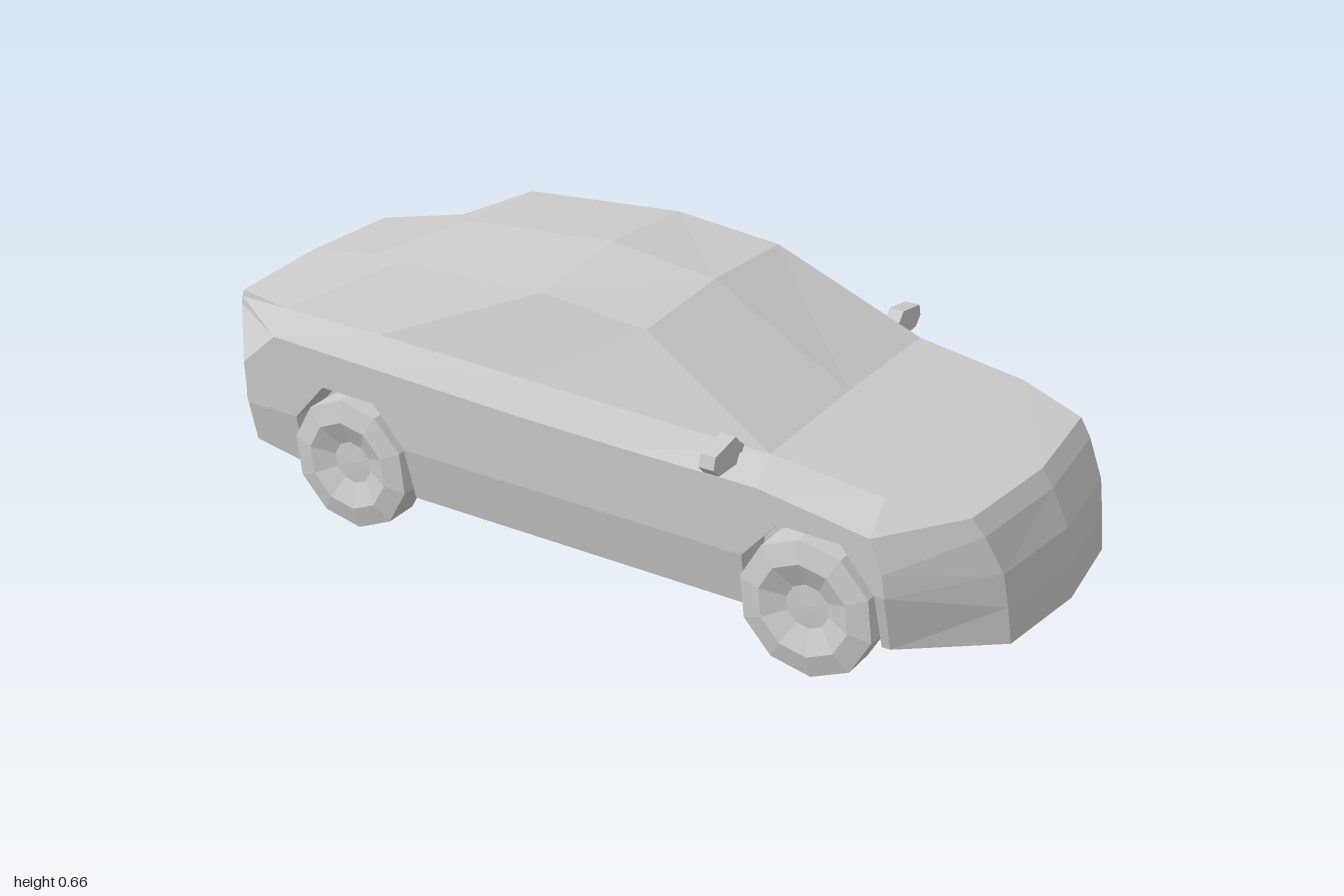
import * as THREE from 'three';

const material = new THREE.MeshStandardMaterial({ color: 0xcccccc, flatShading: true, side: THREE.DoubleSide });

// Rules for the flank: sill tuck-in and shoulder line
const CREASE = 0.23, WIDE = 0.378, SILL = 0.105, WELL = 0.285;
const skinZ = (y) => WIDE - (0.022 * Math.max(0, CREASE - y)) / (CREASE - SILL);
const shoulderY = (x) => 0.392 + 0.03 * Math.max(0, -x) - 0.15 * Math.max(0, x - 0.47);
const onSkin = (x, y) => [x, y, skinZ(y)];

// Wheel arch: one outline moved to each axle
const axles = [-0.572, 0.59];
const archAt = (x) => [[-0.154, SILL], [-0.153, CREASE], [-0.071, 0.324], [0.071, 0.322], [0.15, CREASE], [0.161, SILL]]
  .map(([dx, y]) => [x + dx, y]);
const [rearArch, frontArch] = axles.map(archAt);

// Cabin station: shoulder, belt, roof edge and centre line
function station([x, edgeY, edgeZ, centreY]) {
  const beltZ = edgeY > 0.46 ? 0.331 : edgeZ;
  return [[x, shoulderY(x), WIDE], [x, Math.min(edgeY, 0.458 - 0.018 * x), beltZ], [x, edgeY, edgeZ], [x, centreY, 0]];
}
const cabin = [
  [-0.775, 0.467, 0.33, 0.481], [-0.51, 0.61, 0.25, 0.622], [-0.12, 0.637, 0.27, 0.658],
  [0.14, 0.615, 0.27, 0.63], [0.47, 0.447, 0.327, 0.452], [0.725, 0.415, 0.315, 0.42],
].map(station);

// Ends of the flank, from sill up to the shoulder
const flankRear = [onSkin(-0.86, 0.131), onSkin(-0.865, CREASE), onSkin(-0.87, 0.33)];
const flankFront = [onSkin(0.77, SILL), onSkin(0.762, CREASE), onSkin(0.755, 0.28)];

// Corner posts of tail and nose; the middle of each end bulges outward
const tailCorner = [[-0.987, 0.157, 0.25], [-0.982, 0.25, 0.254], [-0.972, 0.405, 0.259], [-0.967, 0.425, 0.26], [-0.962, 0.442, 0.26]];
const noseCorner = [[0.97, 0.117, 0.225], [0.961, 0.2, 0.23], [0.95, 0.275, 0.236], [0.912, 0.355, 0.252], [0.885, 0.392, 0.26]];
const middle = (corner, bulge) => corner.map(([x, y]) => [x + bulge, y + 0.003, 0]);
const tailMiddle = middle(tailCorner, -0.013);
const noseMiddle = middle(noseCorner, 0.03);

// Triangle list to geometry, dropping collapsed triangles
function facets(triangles) {
  const v = (p) => new THREE.Vector3(...p);
  const kept = triangles.filter((t) => new THREE.Triangle(...t.map(v)).getArea() > 1e-7);
  const geometry = new THREE.BufferGeometry();
  geometry.setAttribute('position', new THREE.Float32BufferAttribute(kept.flat(2), 3));
  geometry.computeVertexNormals();
  return geometry;
}
const quad = (a, b, c, d) => [[a, b, c], [a, c, d]];

// Skin between neighbouring columns of points
function loft(columns) {
  const triangles = [];
  for (let i = 0; i < columns.length - 1; i++) {
    const a = columns[i], b = columns[i + 1];
    for (let j = 0; j < a.length - 1; j++) triangles.push(...quad(a[j], b[j], b[j + 1], a[j + 1]));
  }
  return facets(triangles);
}
// Carry an end column over the top to the centre line
const closed = (corner, centre) => [...corner, corner[4], centre[4]];
const closedMiddle = (centre) => [...centre, centre[4], centre[4]];

// Flat outline triangulated, then each (u, v) placed in space by a rule
function sheet(points, place) {
  const shape = new THREE.Shape(points.map((p) => new THREE.Vector2(p[0], p[1])));
  const geometry = new THREE.ShapeGeometry(shape).toNonIndexed();
  const pos = geometry.attributes.position;
  for (let i = 0; i < pos.count; i++) pos.setXYZ(i, ...place(pos.getX(i), pos.getY(i)));
  geometry.computeVertexNormals();
  return geometry;
}

// Ten-sided wheel with a shallow dish, turned slightly off the vertical
function wheelGeometry() {
  const profile = [[0, 0.003], [0.15, 0.003], [0.155, 0.012], [0.155, 0.094], [0.105, 0.105], [0.05, 0.083], [0, 0.086]];
  const geometry = new THREE.LatheGeometry(profile.map((p) => new THREE.Vector2(...p)), 10, 0.113);
  return geometry.rotateX(Math.PI / 2).toNonIndexed();
}

function mirrorGeometry() {
  const outline = [[0.325, 0.437], [0.345, 0.44], [0.357, 0.42], [0.425, 0.422], [0.445, 0.443], [0.438, 0.47], [0.36, 0.483], [0.345, 0.466], [0.325, 0.45]];
  const shape = new THREE.Shape(outline.map((p) => new THREE.Vector2(...p)));
  return new THREE.ExtrudeGeometry(shape, { depth: 0.035, bevelEnabled: false }).rotateY(-Math.PI / 2).translate(0.41, 0, 0);
}

// Wheel well: liner strip running inward, and the wall behind the wheel
function wellParts(arch) {
  const outer = arch.map(([x, y]) => onSkin(x, y));
  const inner = arch.map(([x, y]) => [x, y, WELL]);
  const liner = outer.slice(1).flatMap((p, i) => quad(outer[i], p, inner[i + 1], inner[i]));
  return [['wheelArchLiner', facets(liner)], ['wheelWellWall', sheet(arch, (x, y) => [x, y, WELL])]];
}

// Floor: level middle with a notch at each wheel, and rising ends
function floorParts() {
  const edge = skinZ(SILL), rearX = -0.73, frontX = flankFront[0][0];
  const notch = (arch) => [[arch[5][0], edge], [arch[5][0], WELL], [arch[0][0], WELL], [arch[0][0], edge]];
  const level = [[rearX, 0], [frontX, 0], [frontX, edge], ...notch(frontArch), ...notch(rearArch), [rearX, edge]];
  const rearLine = [[rearX, SILL, 0], [rearX, SILL, edge]];
  const frontLine = [[frontX, SILL, 0], [frontX, SILL, edge]];
  const tailEnd = [[rearLine[0], rearLine[1], flankRear[0]], ...quad(rearLine[0], flankRear[0], tailCorner[0], tailMiddle[0])];
  const noseEnd = quad(frontLine[0], noseMiddle[0], noseCorner[0], frontLine[1]);
  return [
    ['floor', sheet(level, (x, z) => [x, SILL, z])],
    ['rearUnderside', facets(tailEnd)],
    ['frontUnderside', facets(noseEnd)],
  ];
}

// Every part of one half, as [name, geometry]
function halfParts() {
  const rear = [...flankRear, ...cabin[0]];
  const front = [...flankFront, ...cabin[5]];
  const upperFlank = [
    flankRear[1], ...rearArch.slice(1, 5), ...frontArch.slice(1, 5), flankFront[1], flankFront[2],
    ...cabin.map((c) => c[0]).reverse(), flankRear[2],
  ];
  const sills = [
    [flankRear[1], flankRear[0], [-0.73, SILL], rearArch[0], rearArch[1]],
    [rearArch[4], rearArch[5], frontArch[0], frontArch[1]],
    [frontArch[4], frontArch[5], flankFront[0], flankFront[1]],
  ];
  return [
    ['cabinAndBonnet', loft(cabin)],
    ['tail', loft([closedMiddle(tailMiddle), closed(tailCorner, tailMiddle), rear])],
    ['nose', loft([front, closed(noseCorner, noseMiddle), closedMiddle(noseMiddle)])],
    ['upperFlank', sheet(upperFlank, onSkin)],
    ...sills.map((s) => ['sill', sheet(s, onSkin)]),
    ...wellParts(rearArch),
    ...wellParts(frontArch),
    ...floorParts(),
    ...axles.map((x) => ['wheel', wheelGeometry().translate(x, 0.155, 0.29)]),
    ['doorMirror', mirrorGeometry()],
  ];
}

// Copy reflected across the centre plane, with the corner order restored
function reflected(source) {
  const geometry = source.clone().scale(1, 1, -1);
  const pos = geometry.attributes.position;
  const a = new THREE.Vector3(), b = new THREE.Vector3();
  for (let i = 0; i < pos.count; i += 3) {
    a.fromBufferAttribute(pos, i + 1);
    b.fromBufferAttribute(pos, i + 2);
    pos.setXYZ(i + 1, b.x, b.y, b.z);
    pos.setXYZ(i + 2, a.x, a.y, a.z);
  }
  geometry.computeVertexNormals();
  return geometry;
}

export function createModel() {
  const car = new THREE.Group();
  car.name = 'car';
  const sides = { leftHalf: (g) => g, rightHalf: reflected };
  for (const [name, transform] of Object.entries(sides)) {
    const half = new THREE.Group();
    half.name = name;
    for (const [part, geometry] of halfParts()) {
      const mesh = new THREE.Mesh(transform(geometry), material);
      mesh.name = part;
      half.add(mesh);
    }
    car.add(half);
  }
  return car;
}
